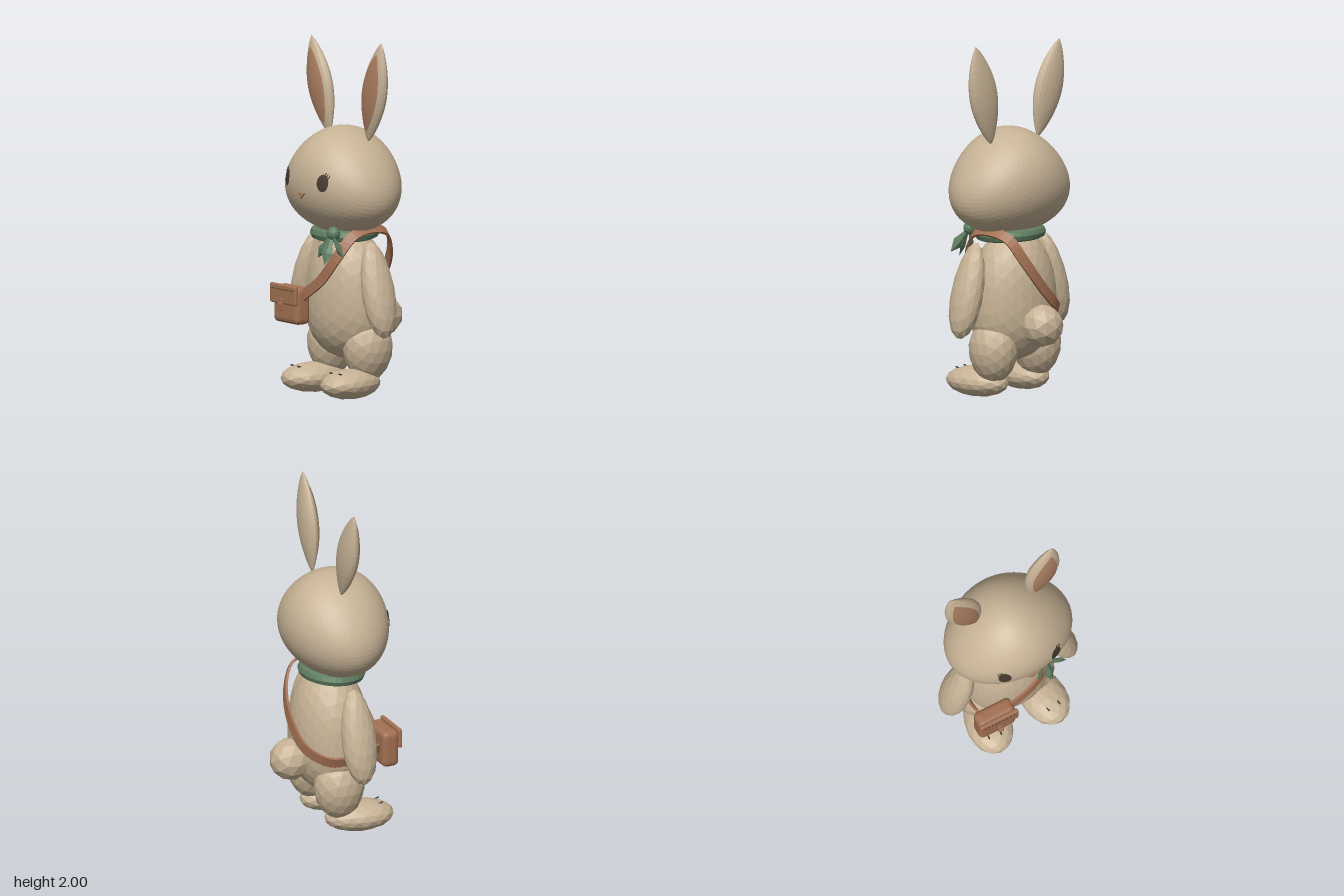
import * as THREE from 'three';
import { RoundedBoxGeometry } from 'three/addons/geometries/RoundedBoxGeometry.js';

const mat = (name, color) => {
  const m = new THREE.MeshStandardMaterial({ color, flatShading: true, side: THREE.DoubleSide });
  m.name = name;
  return m;
};

export function createModel() {
  const root = new THREE.Group();
  root.name = 'rabbit';
  const fur = mat('fur', 0xc6b295), inner = mat('innerEar', 0xa97c5f), leather = mat('leather', 0xa27052);
  const green = mat('scarfGreen', 0x5f7d60), dark = mat('darkBrown', 0x453a30);

  const add = (name, geo, material, pos = [0, 0, 0], rot = [0, 0, 0], parent = root) => {
    const m = new THREE.Mesh(geo, material);
    m.name = name;
    m.position.set(...pos);
    m.rotation.set(...rot);
    parent.add(m);
    return m;
  };
  // Faceted ball scaled to radii, each unit vertex optionally reshaped by a rule
  const blob = (detail, rx, ry, rz, rule) => {
    const g = new THREE.IcosahedronGeometry(1, detail), p = g.attributes.position, v = new THREE.Vector3();
    for (let i = 0; i < p.count; i++) {
      v.fromBufferAttribute(p, i);
      if (rule) rule(v);
      p.setXYZ(i, v.x * rx, v.y * ry, v.z * rz);
    }
    g.computeVertexNormals();
    return g;
  };
  // Grid surface from a function of (u, v) in 0..1
  const surface = (nu, nv, fn) => {
    const pos = [], idx = [], w = nu + 1;
    for (let j = 0; j <= nv; j++) for (let i = 0; i <= nu; i++) pos.push(...fn(i / nu, j / nv));
    for (let j = 0; j < nv; j++) for (let i = 0; i < nu; i++) {
      const a = j * w + i;
      idx.push(a, a + 1, a + w, a + 1, a + w + 1, a + w);
    }
    const g = new THREE.BufferGeometry();
    g.setAttribute('position', new THREE.Float32BufferAttribute(pos, 3));
    g.setIndex(idx);
    g.computeVertexNormals();
    return g;
  };

  // Head: broad cheeks, narrow crown
  const HY = 1.21, HZ = 0.04, HR = 0.3, HD = 0.295;
  const headWidth = t => 0.362 - 0.1 * t;
  add('head', blob(11, 1, HR, HD, v => { v.x *= headWidth(v.y); }), fur, [0, HY, HZ]);
  const faceZ = (x, y) => {
    const t = (y - HY) / HR;
    return HZ + HD * Math.sqrt(Math.max(0, 1 - t * t - (x / headWidth(t)) ** 2));
  };

  // Eyes and lashes wrapped on the face
  for (const s of [1, -1]) {
    const side = s > 0 ? 'left' : 'right';
    add(side + 'Eye', surface(24, 4, (u, v) => {
      const a = u * Math.PI * 2, x = s * 0.16 + 0.034 * v * Math.cos(a), y = 1.225 + 0.049 * v * Math.sin(a);
      return [x, y, faceZ(x, y) + 0.005];
    }), dark);
    for (let k = 0; k < 3; k++) {
      const pts = [0, 1].map(e => {
        const x = s * (0.165 + k * 0.011 + e * 0.008), y = 1.262 - k * 0.008 + e * 0.022;
        return new THREE.Vector3(x, y, faceZ(x, y) + 0.005);
      });
      add(side + 'Lash', new THREE.TubeGeometry(new THREE.LineCurve3(...pts), 1, 0.0025, 5), dark);
    }
  }
  // Nose
  const noseShape = new THREE.Shape([[-0.032, 1.155], [0, 1.122], [0.032, 1.155]].map(p => new THREE.Vector2(...p)));
  add('nose', new THREE.ExtrudeGeometry(noseShape, { depth: 0.009, bevelEnabled: false }), inner, [0, 0, 0.329]);

  // Ears: leaf shells with a coloured patch on the front
  const leaf = v => Math.sin(Math.PI * Math.min(1, v)) ** 0.8;
  const makeEar = (name, base, tilt, len) => {
    const ear = new THREE.Group();
    ear.name = name;
    ear.position.set(...base);
    ear.rotation.z = tilt;
    root.add(ear);
    const W = v => 0.098 * leaf(v), T = v => 0.046 * leaf(v);
    add('earShell', surface(20, 18, (u, v) => {
      const a = u * Math.PI * 2;
      return [W(v) * Math.cos(a), v * len, T(v) * Math.sin(a)];
    }), fur, [0, 0, 0], [0, 0, 0], ear);
    add('earInner', surface(8, 16, (u, q) => {
      const v = 0.11 + 0.78 * q, x = 0.069 * leaf(q) * (u * 2 - 1);
      return [x, v * len, T(v) * Math.sqrt(1 - Math.min(1, (x / W(v)) ** 2)) + 0.004];
    }), inner, [0, 0, 0], [0, 0, 0], ear);
  };
  makeEar('leftEar', [0.175, 1.43, 0], -0.21, 0.583);
  makeEar('rightEar', [-0.178, 1.43, 0], 0.3, 0.565);

  // Body: full pear shape
  add('body', blob(4, 1, 0.37, 1, v => {
    const r = Math.hypot(v.x, v.z) || 1, f = Math.pow(1 - Math.min(1, Math.abs(v.y)) ** 2.5, 0.5) / r;
    v.x *= f * (0.262 - 0.03 * v.y);
    v.z *= f * (0.215 - 0.015 * v.y);
  }), fur, [0, 0.57, 0.01]);
  add('tail', blob(1, 0.12, 0.12, 0.12), fur, [0, 0.42, -0.225]);

  // Limbs
  for (const s of [1, -1]) {
    const side = s > 0 ? 'left' : 'right';
    add(side + 'Arm', blob(2, 0.078, 0.275, 0.1, v => {
      v.x *= 1 - 0.18 * v.y;
      v.z *= 1 - 0.1 * v.y;
    }), fur, [s * 0.318, 0.622, 0.04], [0, 0, s * 0.25]);
    add(side + 'Leg', blob(2, 0.13, 0.18, 0.145, v => {
      v.x *= 1 + 0.08 * v.y;
      v.z *= 1 + 0.1 * v.y;
    }), fur, [s * 0.165, 0.265, -0.005]);
    const foot = new THREE.Group();
    foot.name = side + 'Foot';
    foot.position.set(s * 0.17, 0.085, 0.115);
    foot.rotation.y = s * 0.12;
    root.add(foot);
    add('footPad', blob(2, 0.128, 0.085, 0.2, v => { v.x *= 1 + 0.1 * v.z; }), fur, [0, 0, 0], [0, 0, 0], foot);
    for (const t of [1, -1])
      add('toeLine', new THREE.CapsuleGeometry(0.0045, 0.03, 2, 6), dark, [t * 0.036, 0.066, 0.112], [1.25, 0, 0], foot);
  }

  // Scarf band, knot and pointed tails
  const band = add('scarfBand', new THREE.TorusGeometry(0.175, 0.034, 8, 32), green, [0, 0.912, 0.03], [Math.PI / 2 + 0.05, 0, 0]);
  band.scale.set(1, 0.88, 1);
  add('scarfKnot', blob(2, 0.04, 0.04, 0.036), green, [0.135, 0.932, 0.212]);
  const scarfTail = (end, width) => {
    const a = new THREE.Vector3(0.135, 0.925, 0.222), b = new THREE.Vector3(...end), d = b.clone().sub(a);
    const g = surface(4, 3, (u, v) => {
      const w = [0.008, 0.6 * width, width, 0.001][Math.round(v * 3)], q = [0, 0.35, 0.62, 1][Math.round(v * 3)];
      const c = u * Math.PI * 2;
      return [w * Math.cos(c), q * d.length(), 0.4 * w * Math.sin(c)];
    });
    const m = add('scarfTail', g, green, a.toArray());
    m.quaternion.setFromUnitVectors(new THREE.Vector3(0, 1, 0), d.normalize());
  };
  scarfTail([0.065, 0.795, 0.265], 0.03);
  scarfTail([0.15, 0.765, 0.285], 0.036);
  scarfTail([0.262, 0.81, 0.235], 0.036);

  // Shoulder strap: flat band swept around the body
  const path = new THREE.CatmullRomCurve3([
    [-0.2, 0.5, 0.235], [-0.07, 0.575, 0.248], [0.06, 0.665, 0.238], [0.16, 0.8, 0.205], [0.195, 0.915, 0.12],
    [0.195, 0.945, 0], [0.17, 0.915, -0.13], [0.11, 0.79, -0.2], [0, 0.64, -0.222], [-0.13, 0.52, -0.195],
    [-0.235, 0.46, -0.09], [-0.268, 0.47, 0.06], [-0.25, 0.5, 0.2],
  ].map(p => new THREE.Vector3(...p)), true);
  const corners = [[-1, -1], [1, -1], [1, 1], [-1, 1], [-1, -1]];
  add('strap', surface(4, 64, (u, v) => {
    const p = path.getPoint(v % 1), t = path.getTangent(v % 1);
    const n = new THREE.Vector3(p.x, (p.y - 0.6) * 0.6, p.z);
    n.addScaledVector(t, -n.dot(t)).normalize();
    const b = new THREE.Vector3().crossVectors(t, n), [cw, ct] = corners[Math.round(u * 4)];
    return p.addScaledVector(b, cw * 0.029).addScaledVector(n, ct * 0.007).toArray();
  }), leather);

  // Satchel
  const bag = new THREE.Group();
  bag.name = 'satchel';
  bag.position.set(-0.197, 0, 0);
  root.add(bag);
  const box = (name, w, h, d, r, y, z, m = leather) =>
    add(name, new RoundedBoxGeometry(w, h, d, 2, r), m, [0, y, z], [0, 0, 0], bag);
  box('bagBody', 0.228, 0.21, 0.1, 0.03, 0.5, 0.25);
  box('bagFlap', 0.238, 0.11, 0.024, 0.01, 0.56, 0.303);
  box('claspTab', 0.028, 0.068, 0.012, 0.005, 0.505, 0.321);
  box('claspButton', 0.028, 0.028, 0.018, 0.007, 0.505, 0.332);
  for (let i = 0; i < 9; i++)
    add('stitch', new THREE.BoxGeometry(0.01, 0.005, 0.004), dark, [-0.092 + i * 0.023, 0.588, 0.316], [0, 0, 0], bag);

  return root;
}
